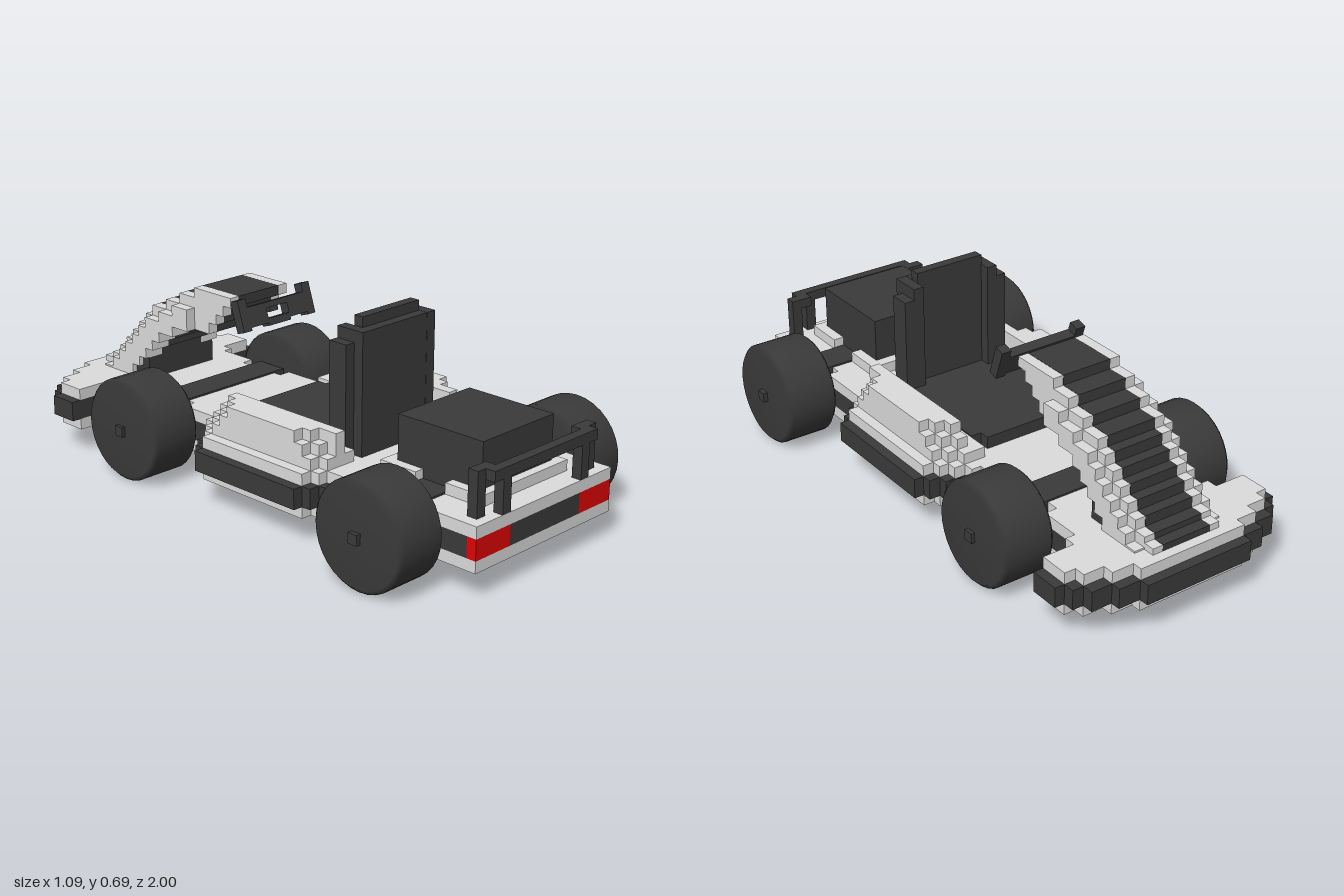
import * as THREE from 'three';

const mat = (name, color) => {
  const m = new THREE.MeshStandardMaterial({ color });
  m.name = name;
  return m;
};

export function createModel() {
  const kart = new THREE.Group();
  kart.name = 'kart';
  const light = mat('light grey', 0xdcdcdc);
  const dark = mat('charcoal', 0x3a3a3a);
  const red = mat('red', 0xde0404);

  const add = (name, geo, m, parent = kart) => {
    const mesh = new THREE.Mesh(geo, m);
    mesh.name = name;
    parent.add(mesh);
    return mesh;
  };
  // Box from its limits on each axis
  const box = (name, m, x0, x1, y0, y1, z0, z1, parent = kart) => {
    const mesh = add(name, new THREE.BoxGeometry(x1 - x0, y1 - y0, z1 - z0), m, parent);
    mesh.position.set((x0 + x1) / 2, (y0 + y1) / 2, (z0 + z1) / 2);
    return mesh;
  };
  // The same box on both sides
  const pair = (name, m, x0, x1, ...rest) => {
    box(name, m, x0, x1, ...rest);
    box(name, m, -x1, -x0, ...rest);
  };

  // Slab with a stepped plan: bands of [z start, z end, half width]
  const slab = (name, m, bands, y0, y1) => {
    const shape = new THREE.Shape([
      ...bands.flatMap(([a, b, w]) => [new THREE.Vector2(w, -a), new THREE.Vector2(w, -b)]),
      ...[...bands].reverse().flatMap(([a, b, w]) => [new THREE.Vector2(-w, -b), new THREE.Vector2(-w, -a)]),
    ]);
    const geo = new THREE.ExtrudeGeometry(shape, { depth: y1 - y0, bevelEnabled: false });
    geo.rotateX(-Math.PI / 2).translate(0, y0, 0);
    add(name, geo, m);
  };
  // Open rim of width d following the same plan
  const rim = (name, m, bands, y0, y1, d) => {
    const start = bands[0][0], end = bands.at(-1)[1];
    const cuts = bands.flatMap(([a, b]) => [a - d, a, a + d, b - d, b, b + d])
      .filter((z) => z >= start && z <= end).sort((p, q) => p - q);
    for (let i = 1; i < cuts.length; i++) {
      const a = cuts[i - 1], b = cuts[i], z = (a + b) / 2;
      if (b - a < 1e-4) continue;
      const outer = bands.find((s) => s[0] <= z && s[1] >= z)[2];
      const near = bands.filter((s) => s[0] < z + d && s[1] > z - d).map((s) => s[2]);
      const atEnd = z < start + d || z > end - d;
      pair(name, m, atEnd ? 0 : Math.min(...near) - d, outer, y0, y1, a, b);
    }
  };

  // Chassis: light rim and deck around a wider dark bumper band
  const waist = [[-0.745, -0.705, 0.285], [-0.705, -0.555, 0.25], [-0.555, -0.36, 0.205],
    [-0.36, -0.21, 0.25], [-0.21, -0.17, 0.285]];
  const deck = [[-0.965, -0.93, 0.205], [-0.93, -0.89, 0.285], [-0.89, -0.85, 0.36], [-0.85, -0.745, 0.4],
    ...waist, [-0.17, -0.135, 0.325], [-0.135, -0.1, 0.36], [-0.1, 0.36, 0.4], [0.36, 0.395, 0.36],
    [0.395, 0.62, 0.325], [0.62, 0.8, 0.285], [0.8, 1, 0.325]];
  const bumper = [[-1, -0.965, 0.205], [-0.965, -0.93, 0.285], [-0.93, -0.89, 0.36], [-0.89, -0.85, 0.4],
    [-0.85, -0.745, 0.435], ...waist, [-0.17, -0.135, 0.36], [-0.135, -0.1, 0.4], [-0.1, 0.36, 0.435],
    [0.36, 0.395, 0.4], [0.395, 0.43, 0.36], [0.43, 0.62, 0.325], [0.62, 0.8, 0.285], [0.8, 0.965, 0.325]];
  rim('lowerRim', light, deck, 0.09, 0.13, 0.037);
  slab('bumperBand', dark, bumper, 0.13, 0.2);
  slab('deck', light, deck, 0.2, 0.24);
  pair('floorRail', light, 0.168, 0.205, 0.09, 0.13, -0.36, 0.62);
  for (const z of [-0.555, -0.36, 0.583]) {
    box('floorCrossRail', light, -0.168, 0.168, 0.09, 0.13, z, z + 0.037);
  }
  box('rearBumper', dark, -0.17, 0.167, 0.13, 0.2, 0.965, 1);
  pair('tailLight', red, 0.167, 0.325, 0.13, 0.2, 0.965, 1);

  // Side pods: a low inner ledge and a raised body with stepped corners
  for (let i = 0; i < 3; i++) {
    const y0 = 0.24 + i * 0.038, front = -0.17 + i * 0.037;
    const columns = [[i ? 0.248 : 0.205, 0.288], [0.288, 0.325], [0.325, 0.362]];
    columns.forEach(([x0, x1], c) => {
      const rear = c ? 0.435 - 0.037 * (c + i) : 0.398;
      pair('sidePod', light, x0, x1, y0, y0 + 0.038, front + 0.037 * c, rear);
    });
  }

  // Seat: cushion with cut front corners, hollowed back and side bolsters
  box('seatCushion', dark, -0.205, 0.205, 0.24, 0.283, -0.095, 0.36);
  box('seatCushionFront', dark, -0.168, 0.168, 0.24, 0.283, -0.132, -0.095);
  box('seatBack', dark, -0.132, 0.13, 0.24, 0.655, 0.324, 0.396);
  pair('seatInnerBolster', dark, 0.131, 0.169, 0.24, 0.655, 0.287, 0.396);
  pair('seatOuterBolster', dark, 0.169, 0.206, 0.24, 0.615, 0.287, 0.36);
  box('seatTop', dark, -0.132, 0.13, 0.65, 0.69, 0.324, 0.36);

  // Engine, its collar with a gap for the axle, and the rear wing
  box('engineCollarFront', light, -0.205, 0.205, 0.24, 0.277, 0.51, 0.655);
  box('engineCollarRear', light, -0.205, 0.205, 0.24, 0.277, 0.775, 0.92);
  box('engine', dark, -0.17, 0.167, 0.24, 0.43, 0.55, 0.888);
  box('wingBar', dark, -0.248, 0.245, 0.355, 0.39, 0.965, 1);
  pair('wingEnd', dark, 0.205, 0.283, 0.355, 0.39, 0.928, 0.965);
  pair('wingOuterLeg', dark, 0.246, 0.283, 0.24, 0.36, 0.928, 0.965);
  pair('wingInnerLeg', dark, 0.17, 0.207, 0.24, 0.36, 0.965, 1);

  // Nose fairing: arched steps of [z back, z front, top, bottom]
  const steps = [
    [-0.25, -0.287, 0.62, 0.585], [-0.287, -0.324, 0.62, 0.547], [-0.324, -0.36, 0.62, 0.51],
    [-0.36, -0.433, 0.62, 0.47], [-0.433, -0.51, 0.585, 0.47], [-0.51, -0.583, 0.547, 0.433],
    [-0.583, -0.62, 0.51, 0.395], [-0.62, -0.657, 0.51, 0.358], [-0.657, -0.694, 0.472, 0.32],
    [-0.694, -0.732, 0.433, 0.283], [-0.732, -0.77, 0.395, 0.24], [-0.77, -0.807, 0.358, 0.24],
    [-0.807, -0.845, 0.32, 0.24], [-0.845, -0.89, 0.283, 0.24], [-0.89, -0.93, 0.262, 0.24],
  ];
  for (const [b, f, top, low] of steps) {
    box('fairingStripe', dark, -0.094, 0.092, low, top, f, b);
    pair('fairingEdge', light, 0.093, 0.131, low, top, f, b);
    if (b < -0.43 && top > 0.28) pair('fairingShoulder', light, 0.131, 0.168, low, top - 0.037, f, b);
  }
  box('fairingSupport', dark, -0.15, 0.15, 0.24, 0.33, -0.73, -0.66);

  // Steering wheel, leaning forward on its column
  const steering = new THREE.Group();
  steering.name = 'steering';
  steering.position.set(0, 0.577, -0.178);
  steering.rotation.x = -0.32;
  kart.add(steering);
  for (const s of [-1, 1]) {
    box('wheelGrip', dark, s * 0.148 - 0.018, s * 0.148 + 0.018, -0.055, 0.055, -0.018, 0.018, steering);
    box('wheelSpoke', dark, s * 0.09 - 0.042, s * 0.09 + 0.042, -0.045, 0.025, -0.018, 0.018, steering);
  }
  box('wheelUpperBar', dark, -0.05, 0.05, 0.005, 0.025, -0.018, 0.018, steering);
  box('wheelLowerBar', dark, -0.05, 0.05, -0.055, -0.03, -0.018, 0.018, steering);
  box('steeringColumn', dark, -0.018, 0.018, -0.012, 0.018, -0.16, 0, steering);
  box('columnCollar', dark, -0.055, 0.055, -0.012, 0.018, -0.075, -0.04, steering);

  // Axles and wheels
  const R = 0.18, half = 0.095, c = 0.015;
  const profile = [[0, -half], [R - c, -half], [R, -half + c], [R, half - c], [R - c, half], [0, half]]
    .map(([x, y]) => new THREE.Vector2(x, y));
  const tyre = new THREE.LatheGeometry(profile, 32).rotateZ(Math.PI / 2);
  const axle = (name, z, x, inner, bar, hub) => {
    pair(name + 'Axle', dark, inner, bar, 0.14, 0.246, z - 0.06, z + 0.06);
    box(name + 'Hub', dark, -hub, hub, 0.163, 0.198, z - 0.018, z + 0.018);
    for (const s of [-1, 1]) {
      add(name + 'Wheel', tyre, dark).position.set(s * x, R, z);
    }
  };
  axle('front', -0.45, 0.36, 0, 0.25, 0.468);
  axle('rear', 0.715, 0.435, 0.1, 0.325, 0.546);

  return kart;
}
